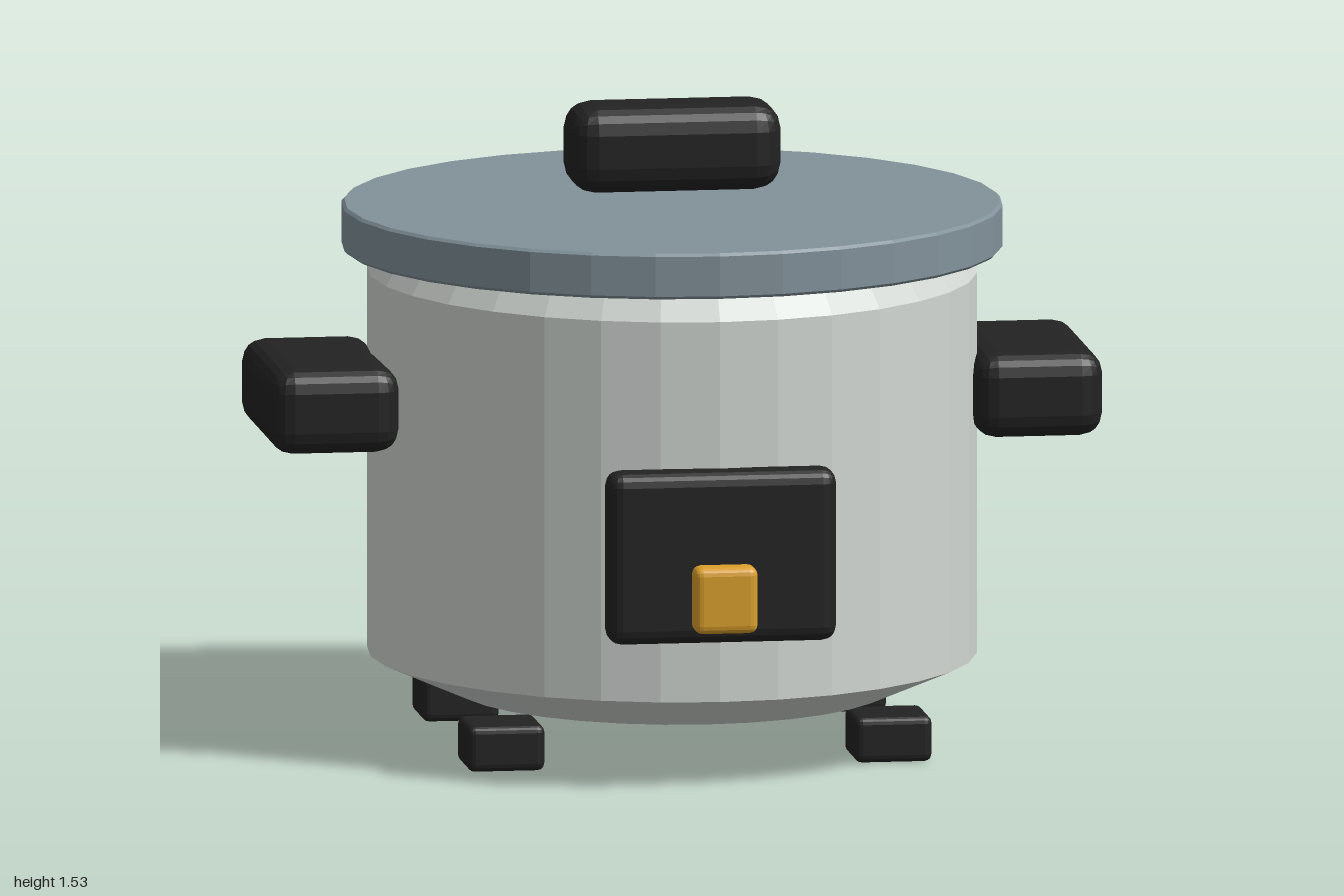
import * as THREE from 'three';
import { RoundedBoxGeometry } from 'three/addons/geometries/RoundedBoxGeometry.js';

const mat = (name, color) => {
  const m = new THREE.MeshStandardMaterial({ color });
  m.name = name;
  return m;
};

// Give every facet its own normal
function facet(geometry) {
  const g = geometry.index ? geometry.toNonIndexed() : geometry;
  g.computeVertexNormals();
  return g;
}

export function createModel() {
  const steel = mat('brushed steel', 0xd2d7d3);
  const lidGrey = mat('blue grey', 0x82929a);
  const black = mat('black plastic', 0x222222);
  const amber = mat('amber', 0xdba02c);

  const model = new THREE.Group();
  model.name = 'cooker';
  const axisZ = -0.055; // the pot sits behind the control panel

  const add = (name, geometry, material, x, y, z) => {
    const mesh = new THREE.Mesh(facet(geometry), material);
    mesh.name = name;
    mesh.position.set(x, y, z);
    model.add(mesh);
    return mesh;
  };
  const lathe = (points) =>
    new THREE.LatheGeometry(points.map(([r, y]) => new THREE.Vector2(r, y)), 32);
  const block = (w, h, d, r) => new RoundedBoxGeometry(w, h, d, 2, r);

  // Slightly oval body with a recessed underside and a tapered shoulder
  const body = lathe([
    [0.56, 0.25], [0.56, 0.12], [0.565, 0.12], [0.787, 0.21],
    [0.787, 1.125], [0.75, 1.18], [0, 1.18],
  ]);
  body.scale(0.92, 1, 1);
  add('body', body, steel, 0, 0, axisZ);

  // Recessed base plate
  const base = new THREE.CylinderGeometry(0.56, 0.56, 0.02, 32);
  base.scale(0.92, 1, 1);
  add('basePlate', base, lidGrey, 0, 0.25, axisZ);

  // Round lid with fine bevels
  add('lid', lathe([
    [0, 1.18], [0.78, 1.18], [0.787, 1.187], [0.787, 1.283], [0.78, 1.29], [0, 1.29],
  ]), lidGrey, 0, 0, axisZ);

  // Grip above the lid
  add('lidGrip', block(0.51, 0.21, 0.21, 0.065), black, 0, 1.425, axisZ);

  // Side handles and feet
  for (const side of [-1, 1]) {
    const label = side > 0 ? 'left' : 'right';
    add(label + 'Handle', block(0.31, 0.205, 0.56, 0.055), black, side * 0.845, 0.842, axisZ);
    for (const end of [-1, 1]) {
      add(label + (end > 0 ? 'Front' : 'Back') + 'Foot',
        block(0.185, 0.11, 0.185, 0.018), black, side * 0.465, 0.055, axisZ + end * 0.372);
    }
  }

  // Control panel and switch
  add('controlPanel', block(0.55, 0.415, 0.1, 0.035), black, 0, 0.565, 0.737);
  add('switch', block(0.152, 0.16, 0.08, 0.02), amber, 0, 0.47, 0.805);

  return model;
}
